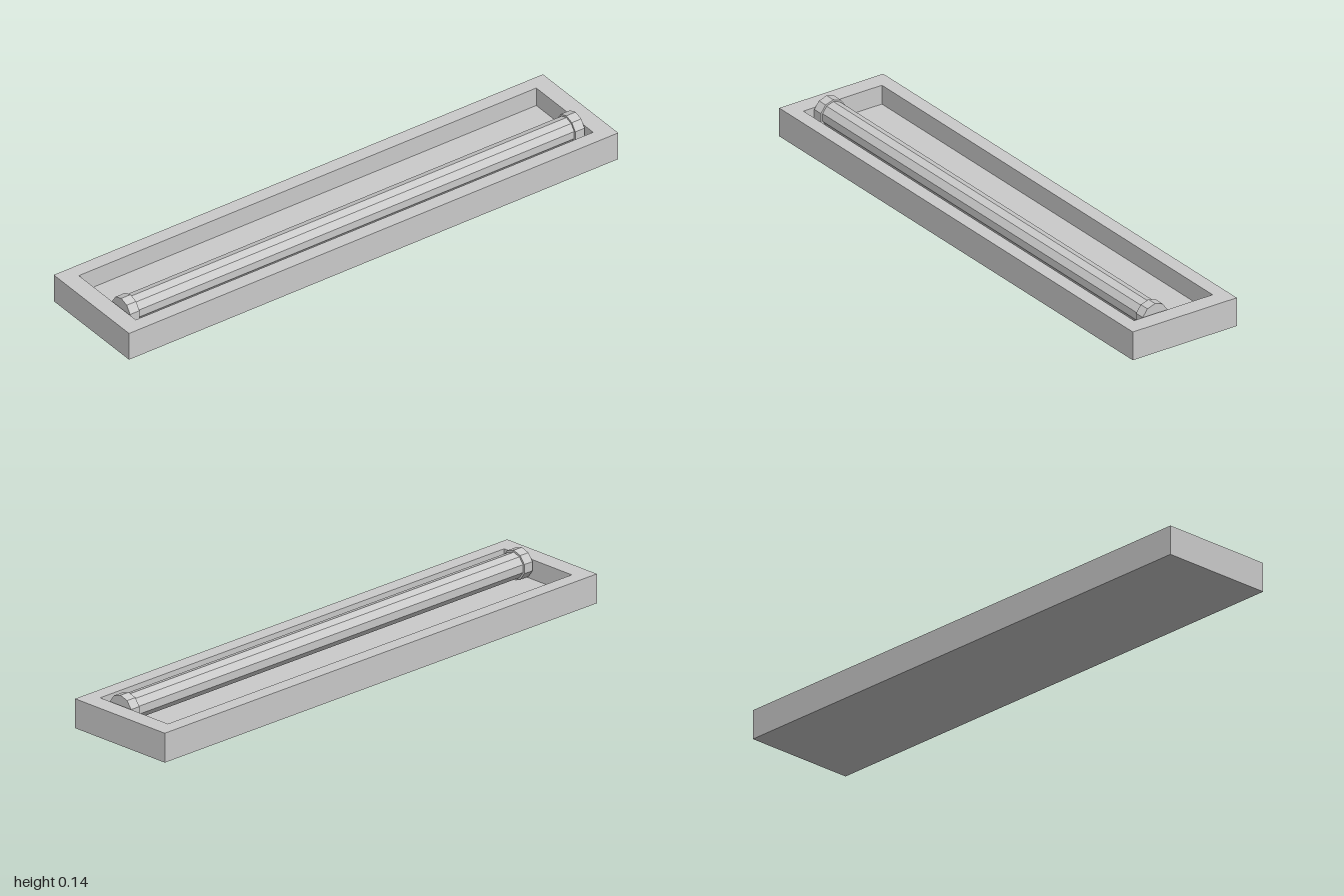
import * as THREE from 'three';

const grey = new THREE.MeshStandardMaterial({ color: 0xcccccc, flatShading: true });

function add(group, name, geometry, x, y, z) {
  const mesh = new THREE.Mesh(geometry, grey);
  mesh.name = name;
  mesh.position.set(x, y, z);
  group.add(mesh);
  return mesh;
}

// Closed rectangle outline, optionally used as a hole
function rectangle(Type, halfX, halfZ) {
  return new Type([[-1, -1], [1, -1], [1, 1], [-1, 1]]
    .map(([x, z]) => new THREE.Vector2(x * halfX, z * halfZ)));
}

// Ten-sided cylinder along x with a flat side facing up
function decagonBar(radius, length) {
  return new THREE.CylinderGeometry(radius, radius, length, 10)
    .rotateY(Math.PI / 10)
    .rotateZ(Math.PI / 2);
}

export function createModel() {
  const model = new THREE.Group();
  model.name = 'trayWithRoller';

  const height = 0.105, floorY = 0.035;
  const halfX = 1, halfZ = 0.212, innerX = 0.935, innerZ = 0.16;

  // Tray: solid floor slab with a rim frame above it
  const tray = new THREE.Group();
  tray.name = 'tray';
  const outline = rectangle(THREE.Shape, halfX, halfZ);
  outline.holes.push(rectangle(THREE.Path, innerX, innerZ));
  const rim = new THREE.ExtrudeGeometry(outline, { depth: height, bevelEnabled: false })
    .rotateX(-Math.PI / 2);
  add(tray, 'trayRim', rim, 0, 0, 0);
  add(tray, 'trayFloor', new THREE.BoxGeometry(innerX * 2, floorY, innerZ * 2), 0, floorY / 2, 0);
  model.add(tray);

  // Roller: long bar with a wider collar at each end, resting on the floor
  const roller = new THREE.Group();
  roller.name = 'roller';
  roller.position.set(0, 0.0855, 0.07);
  add(roller, 'rollerBar', decagonBar(0.046, 1.79), 0, 0, 0);
  for (const side of [-1, 1]) {
    add(roller, side > 0 ? 'leftCollar' : 'rightCollar', decagonBar(0.053, 0.038), side * 0.91, 0, 0);
  }
  model.add(roller);

  return model;
}
